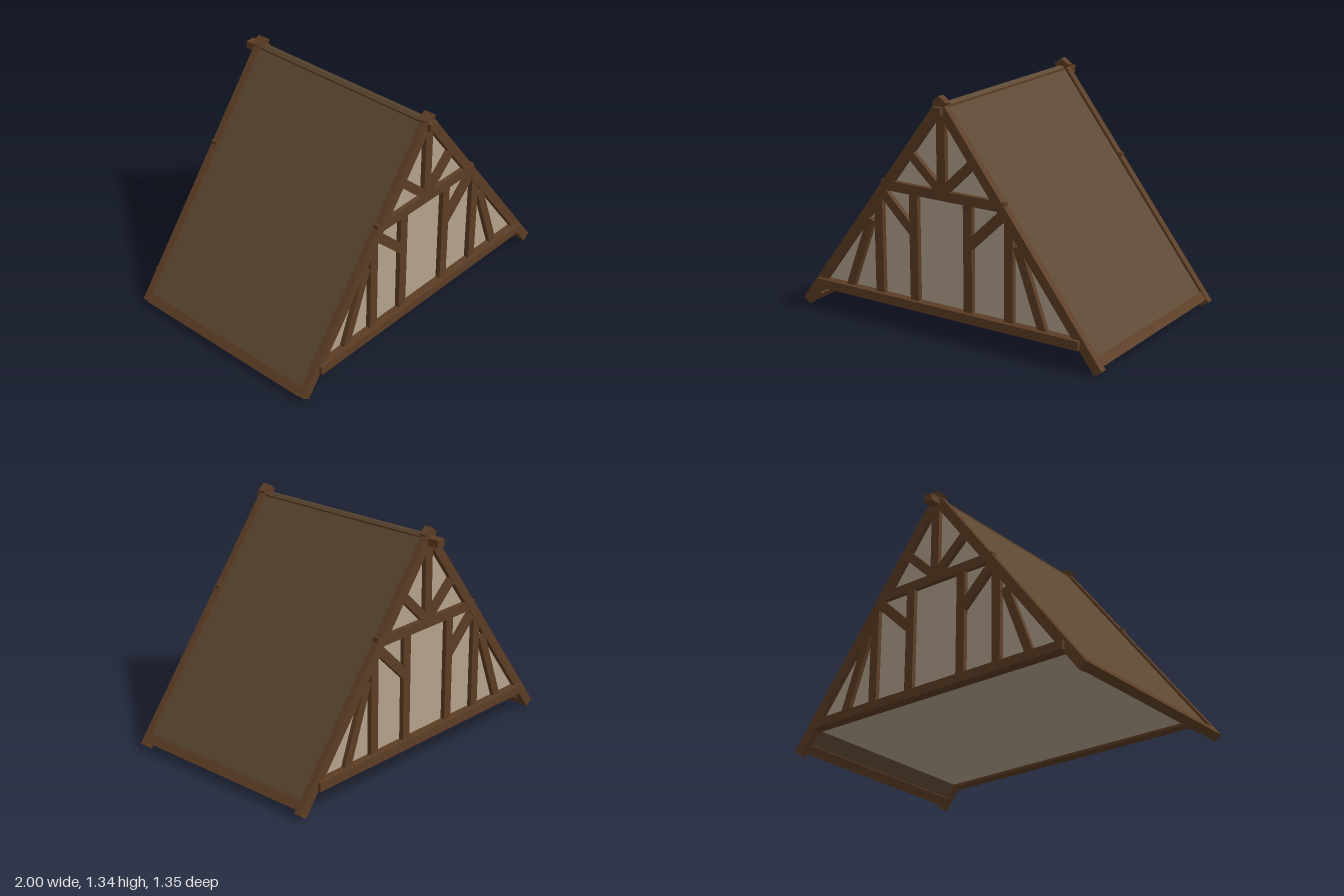
import * as THREE from 'three';

export function createModel() {
  const model = new THREE.Group();
  model.name = 'timberFrameRoof';
  const material = (name, color) => {
    const m = new THREE.MeshStandardMaterial({ color });
    m.name = name;
    return m;
  };
  const wood = material('timber', 0x5c3d24);
  const roofing = material('roofing', 0x5c4832);
  const plaster = material('plaster', 0xb4a38d);

  function box(parent, name, w, h, d, x, y, z, mat = wood) {
    const mesh = new THREE.Mesh(new THREE.BoxGeometry(w, h, d), mat);
    mesh.name = name;
    mesh.position.set(x, y, z);
    parent.add(mesh);
    return mesh;
  }

  // Straight member between two points in the gable plane, spanning z0..z1
  function beam(parent, name, [x0, y0], [x1, y1], width, z0, z1, mat = wood) {
    const mesh = box(parent, name, Math.hypot(x1 - x0, y1 - y0), width, z1 - z0,
      (x0 + x1) / 2, (y0 + y1) / 2, (z0 + z1) / 2, mat);
    mesh.rotation.z = Math.atan2(y1 - y0, x1 - x0);
    return mesh;
  }

  // Plastered body: triangular prism closing both gables and the underside
  const outline = new THREE.Shape([
    new THREE.Vector2(-0.875, 0.15),
    new THREE.Vector2(0.865, 0.15),
    new THREE.Vector2(-0.01, 1.27),
  ]);
  const body = new THREE.Mesh(
    new THREE.ExtrudeGeometry(outline, { depth: 1.19, bevelEnabled: false }), plaster);
  body.name = 'plasterBody';
  body.position.z = -0.575;
  model.add(body);

  // Timber framing of each gable: [name, start, end, width]
  const members = [
    ['rightRafter', [-0.975, 0.025], [0.015, 1.335], 0.055],
    ['leftRafter', [0.975, 0.025], [-0.035, 1.335], 0.055],
    ['collarBeam', [-0.41, 0.812], [0.4, 0.812], 0.055],
    ['kingPost', [-0.005, 0.82], [-0.005, 1.29], 0.055],
    ['upperBrace', [-0.22, 1.02], [-0.01, 0.83], 0.05],
    ['upperBrace', [0.21, 1.03], [0, 0.83], 0.05],
    ['outerPost', [-0.433, 0.16], [-0.433, 0.745], 0.055],
    ['outerPost', [0.423, 0.16], [0.423, 0.735], 0.055],
    ['innerPost', [-0.193, 0.16], [-0.193, 0.81], 0.055],
    ['innerPost', [0.163, 0.16], [0.163, 0.81], 0.055],
    ['lowerBrace', [-0.4, 0.765], [-0.19, 0.565], 0.055],
    ['lowerBrace', [0.39, 0.775], [0.17, 0.565], 0.055],
    ['slantedStrut', [-0.655, 0.165], [-0.49, 0.6], 0.05],
    ['slantedStrut', [0.637, 0.165], [0.475, 0.615], 0.05],
  ];
  for (const [name, z0, z1, out] of [
    ['frontGable', 0.606, 0.648, 0.668], ['backGable', -0.605, -0.562, -0.625]]) {
    const gable = new THREE.Group();
    gable.name = name;
    for (const [part, a, b, width] of members) {
      // rafters stand a touch proud of the infill timbers
      const inset = part.endsWith('Rafter') ? 0 : 0.004;
      beam(gable, part, a, b, width, z0 + inset, z1 - inset);
    }
    const inner = out > 0 ? z0 : z1;
    box(gable, 'tieBeam', 1.735, 0.052, Math.abs(out - inner), -0.003, 0.16, (out + inner) / 2);
    model.add(gable);
  }

  // Roof slopes and eaves timbers, set between the rafters
  beam(model, 'rightRoofSlope', [-0.955, 0.052], [-0.01, 1.302], 0.026, -0.565, 0.61, roofing);
  beam(model, 'leftRoofSlope', [0.945, 0.064], [-0.01, 1.302], 0.026, -0.565, 0.61, roofing);
  beam(model, 'rightEavesBeam', [-0.98, 0.024], [-0.947, 0.068], 0.05, -0.565, 0.61);
  beam(model, 'leftEavesBeam', [0.96, 0.04], [0.927, 0.083], 0.05, -0.565, 0.61);

  // Ridge timber running past both gables
  box(model, 'ridgeBeam', 0.055, 0.042, 1.35, -0.01, 1.277, 0);

  return model;
}
